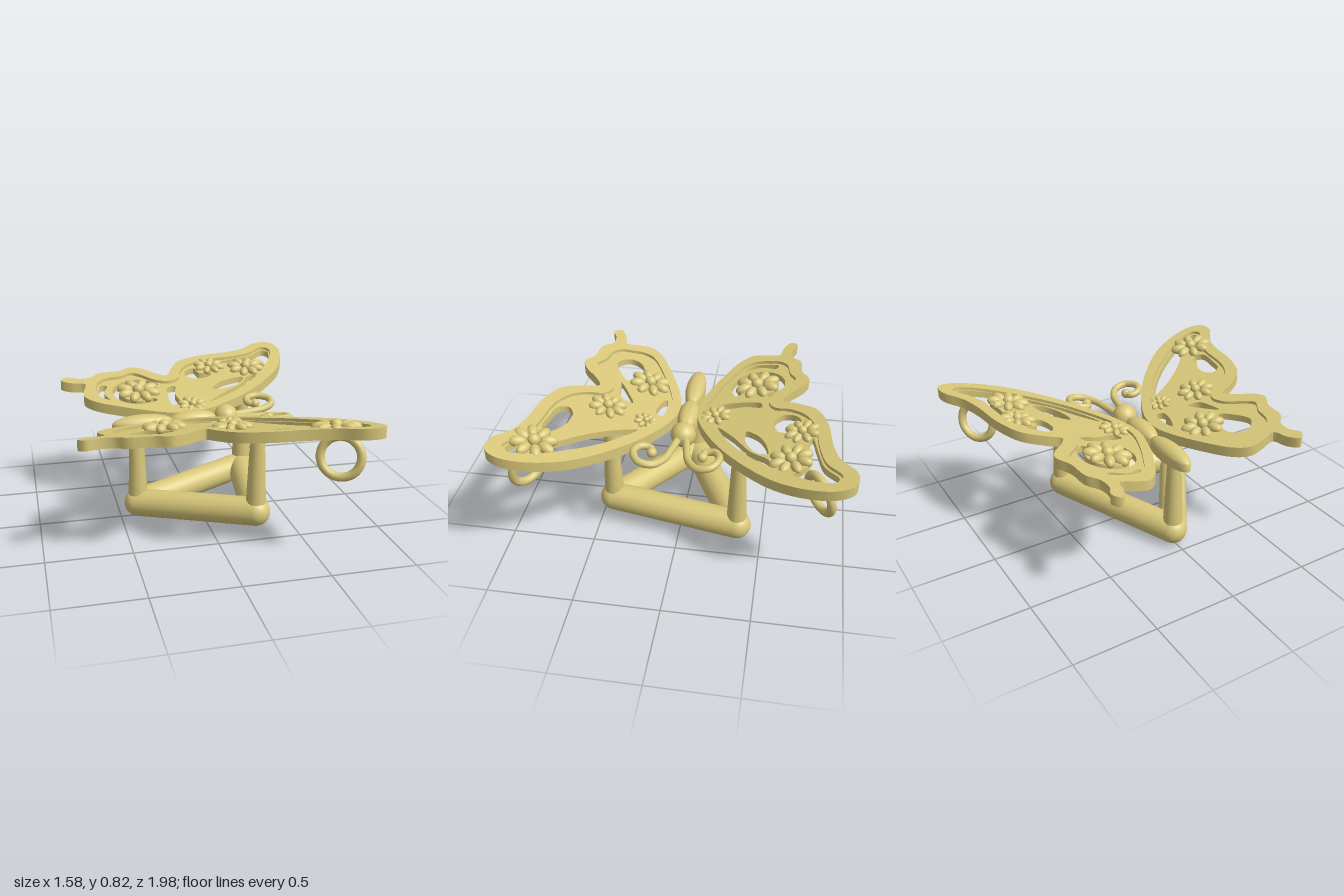
import * as THREE from 'three';
import { toCreasedNormals } from 'three/addons/utils/BufferGeometryUtils.js';

const material = new THREE.MeshStandardMaterial({ color: 0xd9c87a, side: THREE.DoubleSide });
const SLOPE = 0.2, BASE_Y = 0.592;
const wingY = (z) => BASE_Y + SLOPE * Math.abs(z);

function add(parent, name, geometry, x = 0, y = 0, z = 0) {
  const mesh = new THREE.Mesh(geometry, material);
  mesh.name = name;
  mesh.position.set(x, y, z);
  parent.add(mesh);
  return mesh;
}

// Plan outlines as [x, distance from the body]
const OUTER = [[-0.79, 0.58], [-0.73, 0.535], [-0.64, 0.51], [-0.655, 0.42], [-0.66, 0.34], [-0.6, 0.265],
  [-0.45, 0.18], [-0.24, 0.09], [-0.1, 0.055], [0.06, 0.075], [0.3, 0.2], [0.5, 0.36], [0.68, 0.56],
  [0.77, 0.75], [0.79, 0.9], [0.75, 0.98], [0.65, 0.985], [0.53, 0.9], [0.4, 0.86], [0.19, 0.83],
  [0.03, 0.76], [-0.05, 0.64], [-0.09, 0.56], [-0.16, 0.6], [-0.24, 0.68], [-0.31, 0.71], [-0.4, 0.665],
  [-0.53, 0.65], [-0.6, 0.595], [-0.68, 0.59], [-0.75, 0.62]];
const INNER = [[-0.57, 0.46], [-0.58, 0.38], [-0.55, 0.31], [-0.42, 0.23], [-0.2, 0.135], [-0.08, 0.11],
  [0.05, 0.135], [0.27, 0.26], [0.45, 0.41], [0.61, 0.61], [0.7, 0.77], [0.72, 0.88], [0.67, 0.91],
  [0.56, 0.83], [0.42, 0.79], [0.2, 0.76], [0.08, 0.7], [0.01, 0.61], [-0.02, 0.52], [-0.09, 0.48],
  [-0.18, 0.51], [-0.27, 0.6], [-0.32, 0.63], [-0.4, 0.59], [-0.5, 0.57], [-0.555, 0.52]];

// Openings in each wing's tracery panel
const HOLES = {
  front: [
    [[-0.49, 0.45], [-0.47, 0.38], [-0.4, 0.345], [-0.31, 0.38], [-0.24, 0.42], [-0.33, 0.49], [-0.42, 0.52]],
    [[-0.2, 0.45], [-0.1, 0.38], [-0.02, 0.34], [-0.04, 0.41], [-0.12, 0.44]],
    [[-0.14, 0.15], [-0.05, 0.135], [0.04, 0.15], [0.02, 0.19], [-0.08, 0.18]],
    [[0.23, 0.26], [0.33, 0.33], [0.45, 0.44], [0.58, 0.6], [0.66, 0.74], [0.6, 0.72], [0.48, 0.62], [0.37, 0.5], [0.28, 0.37]],
    [[0.18, 0.68], [0.24, 0.64], [0.36, 0.66], [0.45, 0.73], [0.42, 0.77], [0.3, 0.76], [0.21, 0.74]],
    [[0.58, 0.83], [0.63, 0.85], [0.7, 0.83], [0.7, 0.88], [0.66, 0.895]],
  ],
  back: [
    arc(-0.31, 0.4, 0.125, 0.165, 0.5, 5.4),
    [[-0.56, 0.44], [-0.56, 0.35], [-0.5, 0.3], [-0.53, 0.4], [-0.5, 0.5], [-0.54, 0.51]],
    [[-0.12, 0.19], [-0.07, 0.22], [-0.08, 0.34], [-0.06, 0.44], [-0.11, 0.43], [-0.13, 0.32]],
    [[0.04, 0.58], [0.09, 0.53], [0.2, 0.55], [0.22, 0.6], [0.14, 0.61], [0.12, 0.68], [0.06, 0.65]],
    [[0.18, 0.37], [0.28, 0.375], [0.39, 0.44], [0.42, 0.51], [0.34, 0.5], [0.24, 0.45]],
    [[0.12, 0.2], [0.27, 0.275], [0.42, 0.4], [0.52, 0.52], [0.47, 0.52], [0.38, 0.41], [0.24, 0.31]],
    [[0.29, 0.75], [0.38, 0.73], [0.5, 0.75], [0.58, 0.7], [0.62, 0.64], [0.69, 0.77], [0.71, 0.87], [0.67, 0.895], [0.57, 0.82], [0.42, 0.78]],
  ],
};
// Flowers as [x, distance, radius]
const FLOWERS = {
  front: [[-0.27, 0.28, 0.13], [0.13, 0.23, 0.072], [0.08, 0.47, 0.115], [0.57, 0.77, 0.135]],
  back: [[-0.31, 0.395, 0.14], [0, 0.17, 0.095], [0.23, 0.69, 0.105], [0.48, 0.64, 0.125]],
};

// Crescent opening between two radii
function arc(cx, cz, r1, r2, a0, a1) {
  const points = [];
  const n = 14;
  for (let k = 0; k < 2 * n; k++) {
    const t = (k < n ? k : 2 * n - 1 - k) / (n - 1), r = k < n ? r1 : r2;
    const a = a0 + (a1 - a0) * t;
    points.push([cx + r * Math.cos(a), cz + r * Math.sin(a)]);
  }
  return points;
}

function smooth(points, side, steps = 4) {
  const curve = new THREE.CatmullRomCurve3(points.map(([x, z]) => new THREE.Vector3(x, z * side, 0)), true);
  const list = [];
  for (let i = 0; i < points.length * steps; i++) {
    const p = curve.getPoint(i / (points.length * steps));
    list.push(new THREE.Vector2(p.x, p.y));
  }
  return list;
}

// Flat slab with openings, raised along the slope of the wing
function slab(outline, holes, side, top, depth) {
  const shape = new THREE.Shape(smooth(outline, side));
  for (const h of holes) shape.holes.push(new THREE.Path(smooth(h, side)));
  const g = new THREE.ExtrudeGeometry(shape, { depth, bevelEnabled: false });
  g.rotateX(Math.PI / 2);
  const p = g.attributes.position;
  for (let i = 0; i < p.count; i++) p.setY(i, p.getY(i) + top + wingY(p.getZ(i)));
  return toCreasedNormals(g, 0.6);
}

function flower(r) {
  const group = new THREE.Group();
  group.name = 'flower';
  for (let i = 0; i < 8; i++) {
    const a = (i / 8) * Math.PI * 2 + Math.PI / 8;
    const petal = add(group, 'petal', new THREE.SphereGeometry(1, 14, 10), Math.cos(a) * r * 0.64, 0, Math.sin(a) * r * 0.64);
    petal.scale.set(r * 0.38, r * 0.24, r * 0.23);
    petal.rotation.y = -a;
  }
  add(group, 'flowerCentre', new THREE.SphereGeometry(r * 0.26, 16, 12), 0, r * 0.1, 0);
  return group;
}

function wing(key, side) {
  const group = new THREE.Group();
  group.name = key + 'Wing';
  add(group, 'wingRim', slab(OUTER, [INNER], side, 0.031, 0.062));
  add(group, 'wingTracery', slab(INNER, HOLES[key], side, 0.012, 0.04));
  for (const [x, z, r] of FLOWERS[key]) {
    const f = flower(r);
    f.position.set(x, wingY(z) + 0.018, z * side);
    f.rotation.x = -side * Math.atan(SLOPE);
    group.add(f);
  }
  // Hanging ring under the wing tip
  const ring = add(group, 'hangingRing', new THREE.TorusGeometry(0.112, 0.025, 14, 48), 0.59, 0.608, 0.81 * side);
  ring.quaternion.setFromUnitVectors(new THREE.Vector3(0, 0, 1), new THREE.Vector3(-0.55, 0.17, 0.8 * side).set
    (-0.55, 0.17 , 0.8 * side).normalize());
  // Curled antenna
  const path = [[0.2, 0.02], [0.33, 0.045], [0.43, 0.07], [0.505, 0.13], [0.505, 0.205], [0.43, 0.245], [0.365, 0.215], [0.36, 0.16], [0.4, 0.145]]
    .map(([x, z]) => new THREE.Vector3(x, wingY(z) + 0.01, z * side));
  add(group, 'antenna', new THREE.TubeGeometry(new THREE.CatmullRomCurve3(path), 70, 0.022, 12));
  const tip = path[path.length - 1];
  add(group, 'antennaTip', new THREE.SphereGeometry(0.03, 16, 12), tip.x, tip.y, tip.z);
  return group;
}

// Domed body segment with straight walls and a flat underside
function bodySegment(length, radius, height) {
  const g = new THREE.SphereGeometry(1, 32, 24);
  const p = g.attributes.position;
  for (let i = 0; i < p.count; i++) {
    const y = p.getY(i);
    p.setXYZ(i, p.getX(i) * length, y < -0.01 ? -0.04 : y * height, p.getZ(i) * radius);
  }
  g.computeVertexNormals();
  return toCreasedNormals(g, 0.7);
}

function rod(parent, name, a, b, r) {
  const dir = b.clone().sub(a);
  const mesh = add(parent, name, new THREE.CylinderGeometry(r, r, dir.length(), 32));
  mesh.position.copy(a).add(b).multiplyScalar(0.5);
  mesh.quaternion.setFromUnitVectors(new THREE.Vector3(0, 1, 0), dir.normalize());
}

export function createModel() {
  const model = new THREE.Group();
  model.name = 'butterflyStand';

  model.add(wing('front', 1), wing('back', -1));

  // Body
  add(model, 'abdomen', bodySegment(0.19, 0.062, 0.055), -0.345, 0.602, 0);
  add(model, 'thorax', bodySegment(0.15, 0.064, 0.06), -0.035, 0.602, 0);
  add(model, 'head', new THREE.SphereGeometry(0.075, 28, 20), 0.17, 0.608, 0);

  // Triangular base with rounded corners and three tapered posts
  const corners = [[-0.39, 0.086, 0, 0.58], [0.245, 0.145, 0.42, 0.665], [0.373, 0.13, -0.353, 0.65]];
  const points = corners.map(([x, y, z]) => new THREE.Vector3(x, y, z));
  corners.forEach(([x, y, z, top], i) => {
    add(model, 'baseCorner', new THREE.SphereGeometry(0.086, 32, 20), x, y, z);
    rod(model, 'baseBar', points[i], points[(i + 1) % 3], 0.086);
    add(model, 'post', new THREE.CylinderGeometry(0.04, 0.062, top - y, 32), x, (top + y) / 2, z);
  });
  return model;
}
